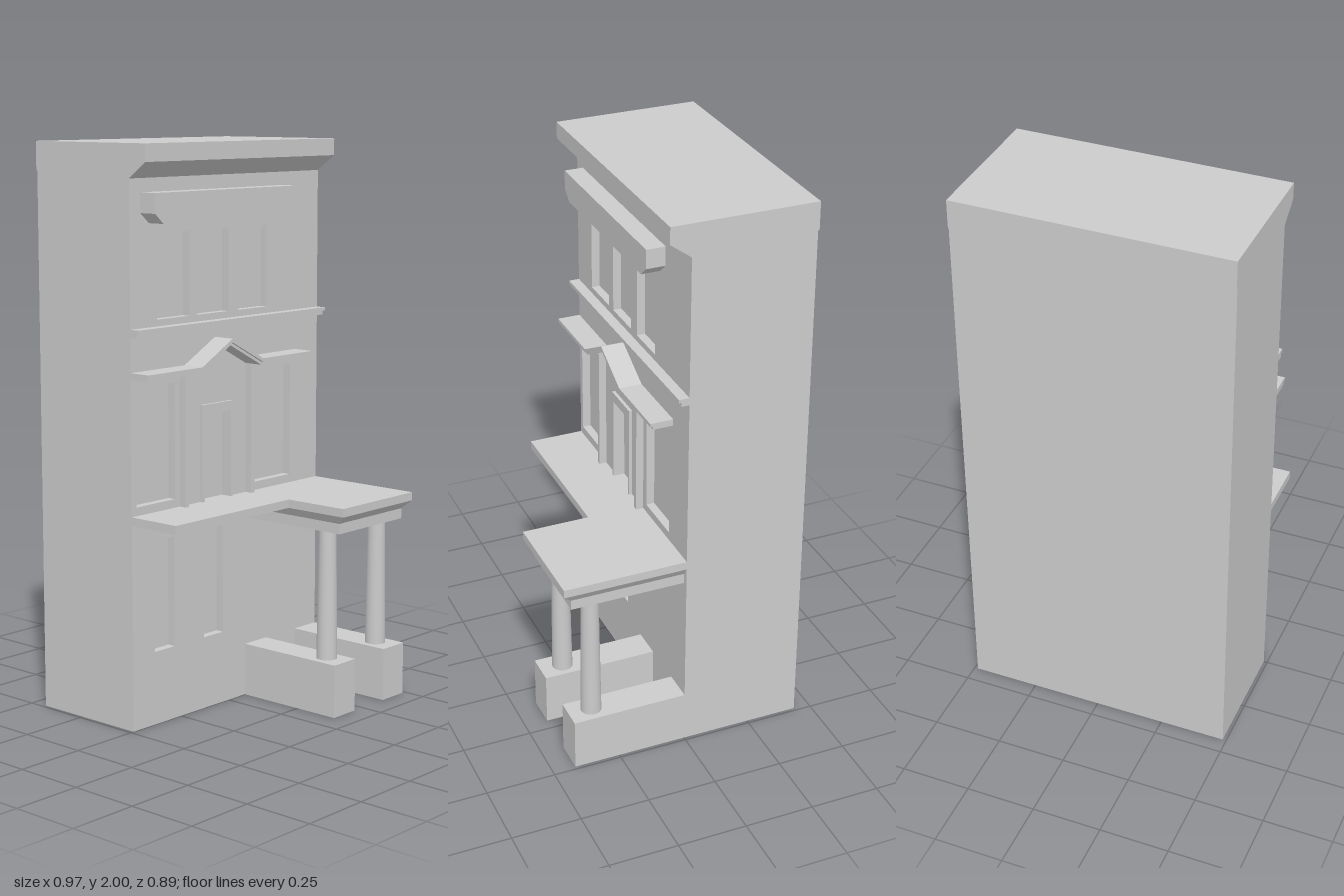
import * as THREE from 'three';

const material = new THREE.MeshStandardMaterial({ color: 0xcccccc, flatShading: true });
const smooth = new THREE.MeshStandardMaterial({ color: 0xcccccc });

export function createModel() {
  const group = new THREE.Group();

  const add = (name, geometry, mat = material) => {
    const mesh = new THREE.Mesh(geometry, mat);
    mesh.name = name;
    group.add(mesh);
    return mesh;
  };

  // Box given by its extents along each axis
  const boxGeo = (x0, x1, y0, y1, z0, z1) =>
    new THREE.BoxGeometry(x1 - x0, y1 - y0, z1 - z0)
      .translate((x0 + x1) / 2, (y0 + y1) / 2, (z0 + z1) / 2);
  const box = (name, ...extents) => add(name, boxGeo(...extents));

  const outline = (points) => new THREE.Shape(points.map(([x, y]) => new THREE.Vector2(x, y)));
  const extrude = (shape, depth) =>
    new THREE.ExtrudeGeometry(shape, { depth, bevelEnabled: false });

  const W = 0.487;
  const RECESS = 0.03;

  // Main block, with a slightly deeper band at the top of the back
  box('body', -W, W, 0, 2, -0.44, -RECESS);
  box('backBand', -W, W, 1.9, 2, -0.445, -0.43);

  // Front wall with recessed windows and balcony door: x0, x1, y0, y1
  const openings = [
    [-0.36, -0.2, 1.41, 1.7], [-0.16, 0, 1.41, 1.7], [0.05, 0.205, 1.41, 1.7],
    [-0.465, -0.275, 0.782, 1.19], [0.138, 0.335, 0.782, 1.19],
    [-0.135, 0.0, 0.752, 1.06],
    [-0.38, -0.28, 0.26, 0.65], [-0.13, -0.03, 0.26, 0.65],
  ];
  const wall = outline([[-W, 0], [W, 0], [W, 2], [-W, 2]]);
  for (const [x0, x1, y0, y1] of openings) {
    wall.holes.push(outline([[x0, y0], [x0, y1], [x1, y1], [x1, y0]]));
  }
  add('frontWall', extrude(wall, RECESS).translate(0, 0, -RECESS));

  // Roof cornice: side profile (z, y) swept across the width
  const cornice = outline([[-0.01, 1.885], [0, 1.885], [0.075, 1.94], [0.075, 2], [-0.01, 2]]);
  add('cornice', extrude(cornice, 2 * W).rotateY(-Math.PI / 2).translate(W, 0, 0));

  // Sign board with cut lower corners
  const sign = outline([[-0.435, 1.77], [-0.395, 1.735], [0.245, 1.735], [0.285, 1.77],
    [0.285, 1.838], [-0.435, 1.838]]);
  add('signBoard', extrude(sign, 0.068));

  // Horizontal course below the top windows
  box('stringCourse', -W, W, 1.36, 1.375, -0.01, 0.028);
  box('stringCourseCap', -W, W, 1.375, 1.387, -0.01, 0.038);

  // Moulding that rises to a gable, in two stepped layers
  const gable = (name, drop, height, depth) => {
    const line = [[-W, 1.242], [-0.224, 1.242], [-0.07, 1.326], [0.092, 1.242], [0.36, 1.242]];
    const upper = line.map(([x, y]) => [x, y - drop]);
    const lower = line.map(([x, y]) => [x, y - drop - height]).reverse();
    add(name, extrude(outline([...lower, ...upper]), depth));
  };
  gable('gableMouldingTop', 0, 0.013, 0.083);
  gable('gableMouldingBase', 0.013, 0.011, 0.073);

  // Pilasters beside the balcony door
  for (const [x0, x1] of [[-0.25, -0.233], [0.092, 0.11]]) {
    box('pilaster', x0, x1, 0.75, 1.225, -0.01, 0.027);
  }

  // Balcony door surround
  box('doorJamb', -0.147, -0.135, 0.75, 1.06, -0.01, 0.012);
  box('doorJamb', 0, 0.008, 0.75, 1.06, -0.01, 0.012);
  box('doorHead', -0.147, 0.008, 1.06, 1.095, -0.01, 0.012);

  // Canopy over the ground floor
  box('canopy', -W, 0.095, 0.722, 0.752, 0, 0.203);

  // Porch roof: top slab, sloping moulding and beam
  box('porchRoof', 0.092, W, 0.722, 0.752, 0, 0.447);
  const slope = boxGeo(0.092, W, 0.692, 0.722, 0, 0.447);
  const p = slope.attributes.position;
  for (let i = 0; i < p.count; i++) {
    if (p.getY(i) > 0.71) continue;
    p.setX(i, p.getX(i) < 0.3 ? 0.112 : 0.467);
    if (p.getZ(i) > 0.2) p.setZ(i, 0.415);
  }
  slope.computeVertexNormals();
  add('porchMoulding', slope);
  box('porchBeam', 0.112, 0.467, 0.655, 0.692, 0, 0.415);

  // Porch columns on long plinths
  for (const [x, x0, x1] of [[0.15, 0.09, 0.206], [0.428, 0.37, W]]) {
    box('plinth', x0, x1, 0, 0.19, 0, 0.417);
    add('column', new THREE.CylinderGeometry(0.031, 0.037, 0.465, 24), smooth)
      .position.set(x, 0.4225, 0.333);
  }

  return group;
}
